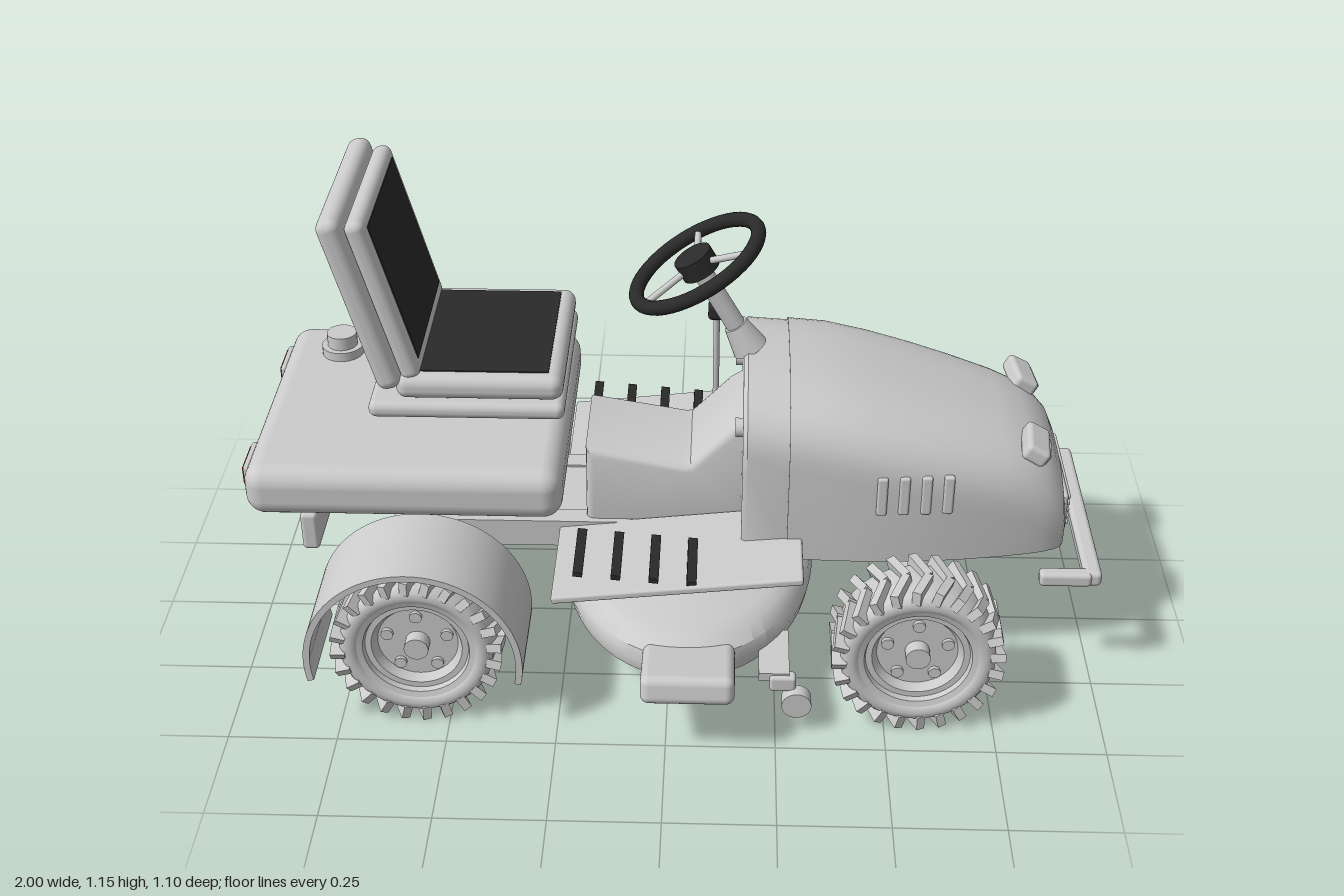
import * as THREE from 'three';
import { mergeGeometries, toCreasedNormals } from 'three/addons/utils/BufferGeometryUtils.js';
import { RoundedBoxGeometry } from 'three/addons/geometries/RoundedBoxGeometry.js';

const mat = (color, side = THREE.FrontSide) => new THREE.MeshStandardMaterial({ color, side });
const grey = mat(0xcccccc), greyOpen = mat(0xcccccc, THREE.DoubleSide);
const dark = mat(0x2a2a2a), red = mat(0xaa2211), white = mat(0xf4f4f4);
const v2 = (list) => list.map(([a, b]) => new THREE.Vector2(a, b));

function add(parent, name, geometry, x = 0, y = 0, z = 0, material = grey) {
  const mesh = new THREE.Mesh(geometry, material);
  mesh.name = name;
  mesh.position.set(x, y, z);
  parent.add(mesh);
  return mesh;
}
const box = (w, h, d) => new THREE.BoxGeometry(w, h, d);
const rbox = (w, h, d, r) => new RoundedBoxGeometry(w, h, d, 4, r);
const cyl = (r, h, r2 = r, n = 28) => new THREE.CylinderGeometry(r2, r, h, n);
const cylZ = (r, h) => cyl(r, h).rotateX(Math.PI / 2);
function rod(parent, name, a, b, r, material = grey) {
  const p = new THREE.Vector3(...a), q = new THREE.Vector3(...b), d = q.clone().sub(p);
  const m = add(parent, name, cyl(r, d.length(), r, 14), 0, 0, 0, material);
  m.position.copy(p).add(q).multiplyScalar(0.5);
  m.quaternion.setFromUnitVectors(new THREE.Vector3(0, 1, 0), d.normalize());
  return m;
}

// Shell lofted along x from stations [x, top height, half width], closed at both ends
function shell(stations, base) {
  const N = 28, pos = [], idx = [], cols = N + 3;
  for (const [x, h, w] of stations) {
    const r = Math.min(0.17, (h - base) * 0.75);
    pos.push(x, base, w * 0.98);
    for (let i = 0; i <= N; i++) {
      const t = Math.PI * i / N, c = Math.cos(t);
      pos.push(x, h - r + r * Math.pow(Math.abs(Math.sin(t)), 0.75), w * Math.sign(c) * Math.pow(Math.abs(c), 0.75));
    }
    pos.push(x, base, -w * 0.98);
  }
  const last = (stations.length - 1) * cols;
  for (let s = 0; s < last; s += cols)
    for (let i = 0; i < cols - 1; i++) {
      const a = s + i, b = a + cols;
      idx.push(a, b, a + 1, b, b + 1, a + 1);
    }
  for (let i = 1; i < cols - 1; i++) idx.push(0, i, i + 1, last, last + i + 1, last + i);
  const g = new THREE.BufferGeometry();
  g.setAttribute('position', new THREE.Float32BufferAttribute(pos, 3));
  g.setIndex(idx);
  return toCreasedNormals(g, 0.6);
}

// Wheel with chevron lugs, dished rim on both sides, bolts and hub cap
function wheel(name) {
  const g = new THREE.Group();
  g.name = name;
  const tyre = v2([[0.132, -0.06], [0.137, -0.068], [0.15, -0.073], [0.166, -0.07], [0.175, -0.058], [0.179, 0],
    [0.175, 0.058], [0.166, 0.07], [0.15, 0.073], [0.137, 0.068], [0.132, 0.06]]);
  add(g, 'tyre', new THREE.LatheGeometry(tyre, 48).rotateX(Math.PI / 2), 0, 0, 0, greyOpen);
  const lugs = [], count = 24;
  for (let i = 0; i < count; i++)
    for (const s of [-1, 1])
      lugs.push(box(0.034, 0.02, 0.08).rotateX(-s * 0.42).translate(0.178, 0, s * 0.037).rotateZ(i / count * 2 * Math.PI));
  add(g, 'treadLugs', mergeGeometries(lugs));
  const rim = v2([[0, 0.03], [0.092, 0.03], [0.104, 0.05], [0.118, 0.05], [0.122, 0.062], [0.136, 0.066]]);
  for (const s of [-1, 1]) {
    const r = toCreasedNormals(new THREE.LatheGeometry(rim, 40).rotateX(s * Math.PI / 2), 0.5);
    add(g, 'rim', r, 0, 0, 0, greyOpen);
    add(g, 'hubCap', cylZ(0.028, 0.06), 0, 0, s * 0.032);
    for (let i = 0; i < 5; i++) {
      const a = Math.PI / 2 + i * Math.PI * 0.4;
      add(g, 'wheelBolt', cylZ(0.014, 0.012), 0.072 * Math.cos(a), 0.072 * Math.sin(a), s * 0.033);
    }
  }
  return g;
}

export function createModel() {
  const root = new THREE.Group();
  root.name = 'ridingMower';
  const m = new THREE.Group();
  m.name = 'mower';
  m.position.z = -0.043;
  root.add(m);
  const sides = [-1, 1];

  // Running gear and chassis
  for (const s of sides) {
    for (const [x, n] of [[0.568, 'frontWheel'], [-0.568, 'rearWheel']]) {
      const w = wheel(n);
      w.position.set(x, 0.197, s * 0.395);
      m.add(w);
    }
    add(m, 'frameRail', box(1.3, 0.07, 0.05), 0.07, 0.305, s * 0.12);
    const arc = new THREE.Shape();
    arc.absarc(0, 0, 0.247, -0.21, Math.PI + 0.21, false);
    arc.absarc(0, 0, 0.232, Math.PI + 0.21, -0.21, true);
    const fender = new THREE.ExtrudeGeometry(arc, { depth: 0.24, bevelEnabled: false, curveSegments: 40 });
    add(m, 'rearFender', toCreasedNormals(fender, 0.5), -0.568, 0.197, s > 0 ? 0.272 : -0.512);
  }
  add(m, 'chassisPan', box(1.1, 0.02, 0.24), 0.0, 0.325, 0);
  add(m, 'frontAxle', box(0.06, 0.055, 0.66), 0.568, 0.207, 0);
  add(m, 'frontAxlePivot', box(0.08, 0.1, 0.1), 0.568, 0.27, 0);
  add(m, 'rearAxle', cylZ(0.03, 0.72), -0.568, 0.197, 0);

  // Hood and dash
  add(m, 'hood', shell([[0.27, 0.742, 0.268], [0.36, 0.732, 0.274], [0.46, 0.708, 0.276], [0.56, 0.68, 0.272], [0.66, 0.65, 0.262],
    [0.76, 0.618, 0.246], [0.82, 0.593, 0.234], [0.86, 0.565, 0.224], [0.89, 0.53, 0.212], [0.907, 0.49, 0.2], [0.914, 0.45, 0.185]], 0.33), 0, 0, 0, greyOpen);
  add(m, 'dash', shell([[0.165, 0.735, 0.255], [0.175, 0.745, 0.262], [0.27, 0.738, 0.264]], 0.33), 0, 0, 0, greyOpen);
  for (const s of sides) {
    add(m, 'dashKnob', cyl(0.022, 0.02).rotateZ(Math.PI / 2), 0.158, 0.62, s * 0.16);
    for (let i = 0; i < 4; i++)
      add(m, 'sideVent', rbox(0.024, 0.1, 0.016, 0.006), 0.48 + i * 0.05, 0.515, s * (0.274 - i * 0.004));
    const lamp = new THREE.Group();
    lamp.name = 'headlight';
    lamp.position.set(0.832, 0.583, s * 0.152);
    lamp.rotation.set(0, -s * 0.1, -0.5);
    add(lamp, 'lampHousing', rbox(0.06, 0.042, 0.115, 0.012));
    add(lamp, 'lampLens', box(0.008, 0.024, 0.09), 0.029, 0.002, 0, white);
    m.add(lamp);
  }
  add(m, 'grilleFrame', rbox(0.02, 0.1, 0.295, 0.008), 0.914, 0.39, 0);
  for (let i = 0; i < 5; i++) add(m, 'grilleSlat', rbox(0.014, 0.011, 0.27, 0.004), 0.924, 0.354 + i * 0.018, 0);

  // Front bumper
  add(m, 'bumperBar', rbox(0.042, 0.038, 0.54, 0.012), 0.978, 0.287, 0);
  for (const s of sides) add(m, 'bumperArm', rbox(0.12, 0.035, 0.035, 0.01), 0.915, 0.287, s * 0.258);

  // Centre tunnel
  const tunnel = new THREE.Shape(v2([[-0.18, 0.33], [0.18, 0.33], [0.18, 0.6], [0.15, 0.575], [0.055, 0.475], [0.03, 0.472], [-0.18, 0.51]]));
  add(m, 'centreTunnel', toCreasedNormals(new THREE.ExtrudeGeometry(tunnel,
    { depth: 0.22, bevelSize: 0.02, bevelThickness: 0.02, bevelSegments: 3 }), 0.6), 0, 0, -0.11);

  // Footrests with grip strips
  for (const s of sides) {
    add(m, 'footrest', rbox(0.57, 0.018, 0.29, 0.006), 0.022, 0.347, s * 0.277).rotation.z = 0.115;
    for (let i = 0; i < 4; i++)
      add(m, 'gripStrip', box(0.022, 0.012, 0.17), -0.2 + i * 0.085, 0.384 - i * 0.007, s * 0.328, dark).rotation.z = -0.1;
  }

  // Rear body, filler cap, tail lights and hitch
  add(m, 'rearBody', rbox(0.715, 0.125, 0.68, 0.045), -0.595, 0.53, 0);
  add(m, 'fuelCap', cyl(0.05, 0.03), -0.81, 0.6, -0.2);
  add(m, 'fuelCapGrip', cyl(0.036, 0.035), -0.81, 0.63, -0.2);
  for (const s of sides) {
    add(m, 'tailLightHousing', rbox(0.02, 0.06, 0.11, 0.008), -0.952, 0.535, s * 0.22);
    add(m, 'tailLight', box(0.008, 0.042, 0.09), -0.961, 0.535, s * 0.22, red);
  }
  add(m, 'rearPlate', rbox(0.04, 0.1, 0.36, 0.01), -0.85, 0.32, 0);
  add(m, 'hitch', rbox(0.095, 0.026, 0.08, 0.008), -0.952, 0.287, 0);
  add(m, 'hitchPin', cyl(0.014, 0.045), -0.965, 0.287, 0);

  // Seat
  add(m, 'seatPost', box(0.1, 0.09, 0.16), -0.495, 0.63, 0);
  add(m, 'seatBase', rbox(0.44, 0.04, 0.46, 0.018), -0.455, 0.69, 0);
  add(m, 'seatCushion', rbox(0.375, 0.06, 0.44, 0.026), -0.425, 0.742, 0);
  add(m, 'seatPad', box(0.3, 0.01, 0.375), -0.42, 0.77, 0, dark);
  const back = new THREE.Group();
  back.name = 'seatBack';
  back.position.set(-0.622, 0.745, 0);
  back.rotation.z = 0.265;
  add(back, 'backShell', rbox(0.055, 0.43, 0.455, 0.024), 0, 0.21, 0);
  add(back, 'backCushion', rbox(0.045, 0.4, 0.42, 0.02), 0.05, 0.2, 0);
  add(back, 'backPad', box(0.01, 0.335, 0.355), 0.07, 0.205, 0, dark);
  m.add(back);

  // Steering column and wheel
  const steer = new THREE.Group();
  steer.name = 'steering';
  steer.position.set(0.055, 0.955, 0);
  steer.rotation.z = 0.52;
  add(steer, 'column', cyl(0.023, 0.26), 0, -0.13, 0);
  add(steer, 'columnBoot', cyl(0.042, 0.07, 0.028), 0, -0.215, 0);
  add(steer, 'steeringRim', new THREE.TorusGeometry(0.158, 0.017, 14, 48).rotateX(Math.PI / 2), 0, 0, 0, dark);
  add(steer, 'steeringHub', cyl(0.046, 0.045), 0, 0, 0, dark);
  for (let i = 0; i < 3; i++) {
    const a = i * Math.PI * 2 / 3;
    rod(steer, 'spoke', [0, 0, 0], [0.158 * Math.sin(a), 0, -0.158 * Math.cos(a)], 0.008);
  }
  m.add(steer);

  // Lift lever
  rod(m, 'lever', [0.1, 0.34, -0.32], [0.1, 0.66, -0.296], 0.008);
  add(m, 'leverKnob', rbox(0.042, 0.04, 0.042, 0.01), 0.1, 0.67, -0.296, dark);

  // Cutting deck, stretched sideways, with chute, spindles, blades and gauge wheels
  const deckProfile = v2([[0, 0.12], [0.275, 0.12], [0.285, 0.113], [0.297, 0.125], [0.303, 0.155], [0.297, 0.185], [0.275, 0.21], [0.25, 0.222], [0, 0.225]]);
  add(m, 'cuttingDeck', toCreasedNormals(new THREE.LatheGeometry(deckProfile, 56).scale(1, 1, 1.52), 0.6), 0.04, 0, 0);
  add(m, 'dischargeChute', rbox(0.21, 0.068, 0.24, 0.02), 0.05, 0.172, 0.472).rotation.x = -0.2;
  for (const s of sides) {
    add(m, 'spindleFlange', cyl(0.05, 0.022), 0.045, 0.236, s * 0.165);
    add(m, 'spindle', cyl(0.02, 0.1), 0.045, 0.28, s * 0.165);
    add(m, 'blade', box(0.04, 0.006, 0.29), 0.04, 0.102, s * 0.148);
    add(m, 'gaugeWheelBracket', rbox(0.06, 0.04, 0.03, 0.008), 0.265, 0.125, s * 0.455);
    add(m, 'gaugeWheelArm', box(0.07, 0.02, 0.16), 0.245, 0.14, s * 0.38);
    add(m, 'gaugeWheel', cylZ(0.034, 0.034), 0.297, 0.08, s * 0.472);
  }
  return root;
}
